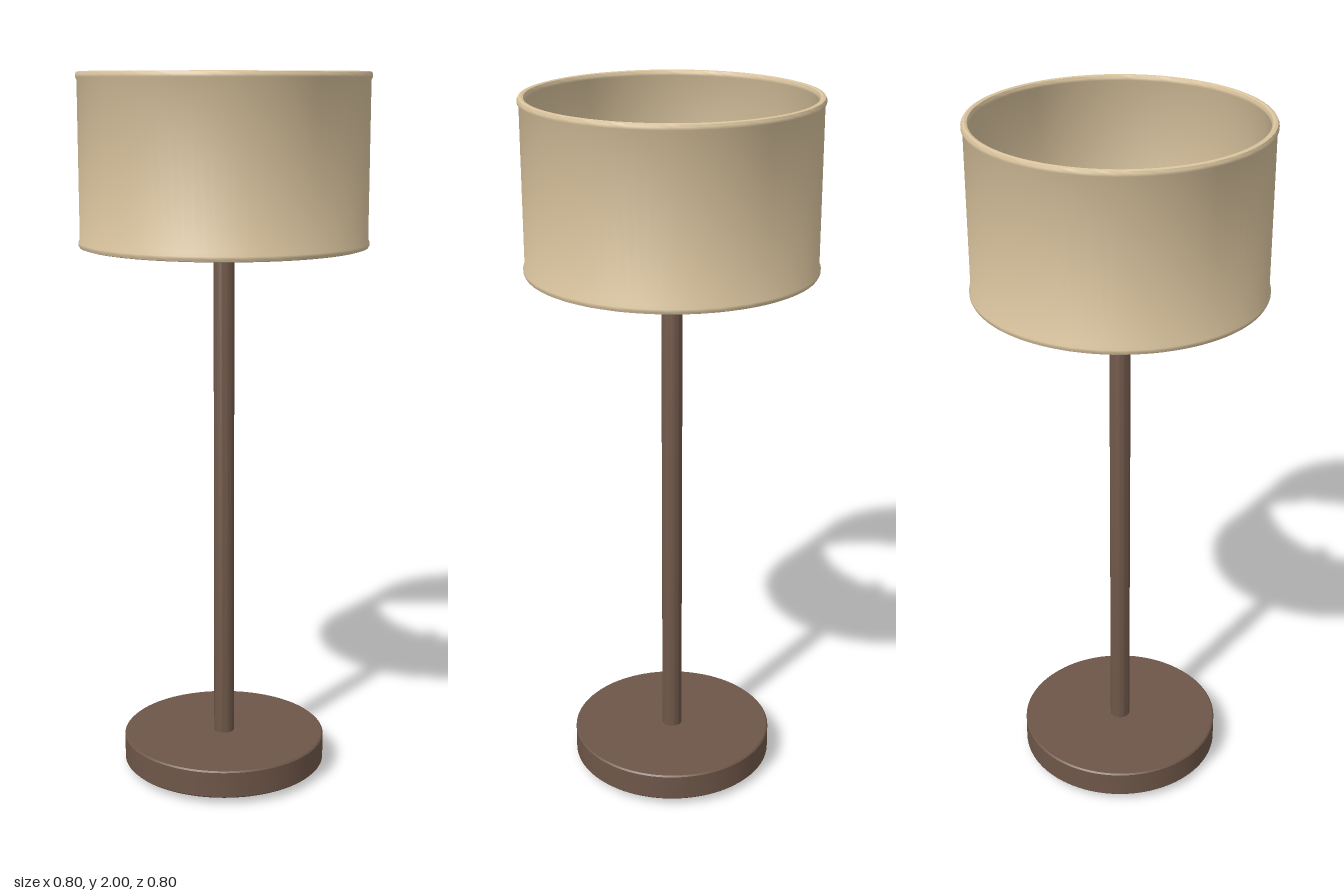
import * as THREE from 'three';
import { toCreasedNormals } from 'three/addons/utils/BufferGeometryUtils.js';

const fabric = new THREE.MeshStandardMaterial({ color: 0xdac49e });
fabric.name = 'beige fabric';
const bronze = new THREE.MeshStandardMaterial({ color: 0x6e5648 });
bronze.name = 'dark bronze';

// Turned part from [radius, height] pairs, listed counter-clockwise
function turned(name, profile, material, segments = 64) {
  const points = profile.map(([r, y]) => new THREE.Vector2(r, y));
  const geometry = toCreasedNormals(new THREE.LatheGeometry(points, segments), 0.6);
  const mesh = new THREE.Mesh(geometry, material);
  mesh.name = name;
  return mesh;
}

export function createModel() {
  const lamp = new THREE.Group();
  lamp.name = 'tableLamp';

  // Open drum shade with a slim rolled rim at each end
  lamp.add(turned('shade', [
    [0.39, 1.53], [0.397, 1.532], [0.4, 1.538], [0.4, 1.545], [0.396, 1.552],
    [0.396, 1.978], [0.4, 1.985], [0.4, 1.992], [0.397, 1.998], [0.39, 2],
    [0.384, 1.998], [0.381, 1.992], [0.381, 1.985], [0.385, 1.978],
    [0.385, 1.552], [0.381, 1.545], [0.381, 1.538], [0.384, 1.532], [0.39, 1.53],
  ], fabric, 96));

  // Slender stem ending just inside the shade
  lamp.add(turned('stem', [
    [0.029, 0.095], [0.029, 1.55], [0.025, 1.556], [0, 1.556],
  ], bronze, 32));

  // Disc base with a tiny softened edge
  lamp.add(turned('base', [
    [0, 0.02], [0.288, 0.02], [0.292, 0.024], [0.292, 0.096], [0.288, 0.1], [0, 0.1],
  ], bronze, 96));

  // Four small feet under the base
  for (let i = 0; i < 4; i++) {
    const angle = Math.PI / 4 + i * Math.PI / 2 + 0.02;
    const foot = turned('foot', [
      [0, 0], [0.008, 0.001], [0.014, 0.008], [0.016, 0.022],
    ], bronze, 16);
    foot.position.set(0.23 * Math.cos(angle), 0, 0.23 * Math.sin(angle));
    lamp.add(foot);
  }

  return lamp;
}
